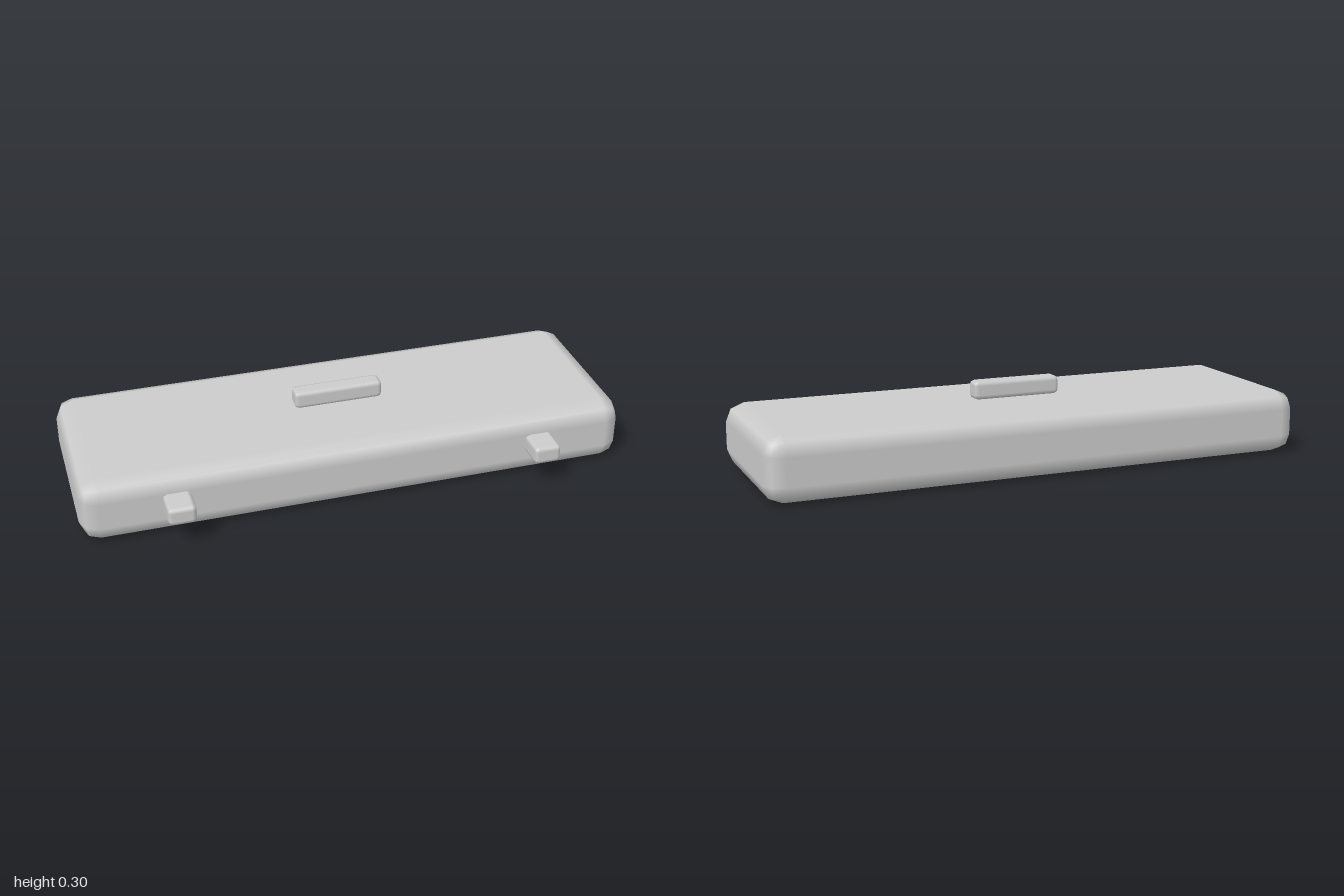
import * as THREE from 'three';
import { RoundedBoxGeometry } from 'three/addons/geometries/RoundedBoxGeometry.js';

export function createModel() {
  const group = new THREE.Group();
  const grey = new THREE.MeshStandardMaterial({ color: 0xcccccc });
  grey.name = 'lightGrey';

  // One bevel step gives two facets around each edge, with smooth normals
  function roundedBlock(name, size, radius, position) {
    const mesh = new THREE.Mesh(new RoundedBoxGeometry(...size, 1, radius), grey);
    mesh.name = name;
    mesh.position.set(...position);
    group.add(mesh);
  }

  // Main slab
  roundedBlock('body', [2, 0.233, 0.667], 0.067, [0, 0.1165, -0.05]);

  // Grip standing on the top face
  roundedBlock('handle', [0.33, 0.067, 0.067], 0.0165, [0, 0.2665, -0.05]);

  // Pegs sticking out of the front face
  for (const side of [-1, 1]) {
    const name = side > 0 ? 'leftPeg' : 'rightPeg';
    roundedBlock(name, [0.1, 0.067, 0.133], 0.0165, [side * 0.665, 0.1335, 0.3165]);
  }

  return group;
}
